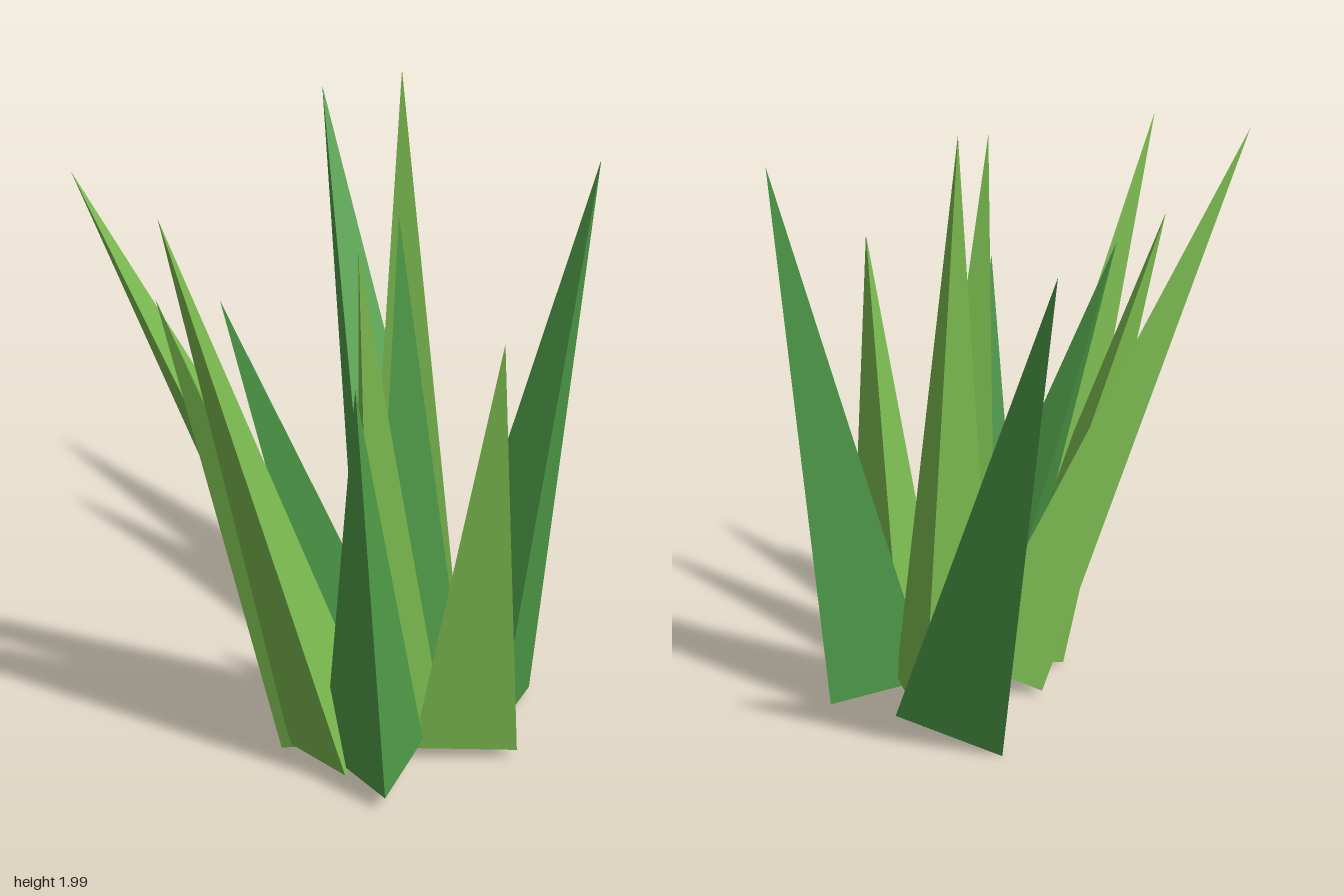
import * as THREE from 'three';

const UP = new THREE.Vector3(0, 1, 0);

// One blade: a three-sided spike from the base centre to the tip.
// angle (degrees, from +x towards +z) points at one corner of its base.
function makeBlade(material, tip, base, radius, angle) {
  const start = new THREE.Vector3(...base);
  const axis = new THREE.Vector3(...tip).sub(start);
  const height = axis.length();
  const geometry = new THREE.ConeGeometry(
    radius, height, 3, 1, false, THREE.MathUtils.degToRad(90 - angle));
  geometry.translate(0, height / 2, 0);
  const blade = new THREE.Mesh(geometry, material);
  blade.position.copy(start);
  blade.quaternion.setFromUnitVectors(UP, axis.normalize());
  return blade;
}

export function createModel() {
  const light = new THREE.MeshStandardMaterial({ color: 0x7cbc50 });
  light.name = 'lightGreen';
  const dark = new THREE.MeshStandardMaterial({ color: 0x4f9c48 });
  dark.name = 'darkGreen';
  light.flatShading = dark.flatShading = true;

  // name, material, tip, base centre, base radius, corner angle
  const blades = [
    ['outerRightBlade', light, [-0.75, 1.88, 0.50], [0.03, 0.08, 0.31], 0.16, 87],
    ['frontRightBlade', light, [-0.45, 1.86, 0.82], [0.01, 0.07, 0.55], 0.16, 76],
    ['shortRightBlade', light, [-0.49, 1.56, 0.66], [-0.02, 0.07, 0.46], 0.16, 165],
    ['innerRightBlade', dark, [-0.33, 1.50, 0.50], [0.12, 0.08, 0.34], 0.16, 15],
    ['backBlade', dark, [-0.17, 1.75, -0.83], [0.15, 0.10, -0.10], 0.21, -15],
    ['tallBlade', light, [0.14, 2.00, -0.19], [0.23, 0.09, 0.04], 0.19, 40],
    ['innerBackBlade', dark, [0.14, 1.56, -0.11], [0.24, 0.08, 0.16], 0.165, 30],
    ['frontBlade', light, [0.10, 1.78, 0.82], [0.175, 0.08, 0.51], 0.165, -14],
    ['shortFrontBlade', dark, [0.09, 1.37, 0.81], [0.145, 0.08, 0.66], 0.175, 78],
    ['frontLeftBlade', light, [0.50, 1.47, 0.68], [0.39, 0.07, 0.42], 0.185, 22],
    ['outerLeftBlade', dark, [0.75, 1.83, 0.11], [0.45, 0.07, 0.22], 0.195, 75],
  ];

  const tuft = new THREE.Group();
  tuft.name = 'grassTuft';
  for (const [name, ...spec] of blades) {
    const blade = makeBlade(...spec);
    blade.name = name;
    tuft.add(blade);
  }
  return tuft;
}
